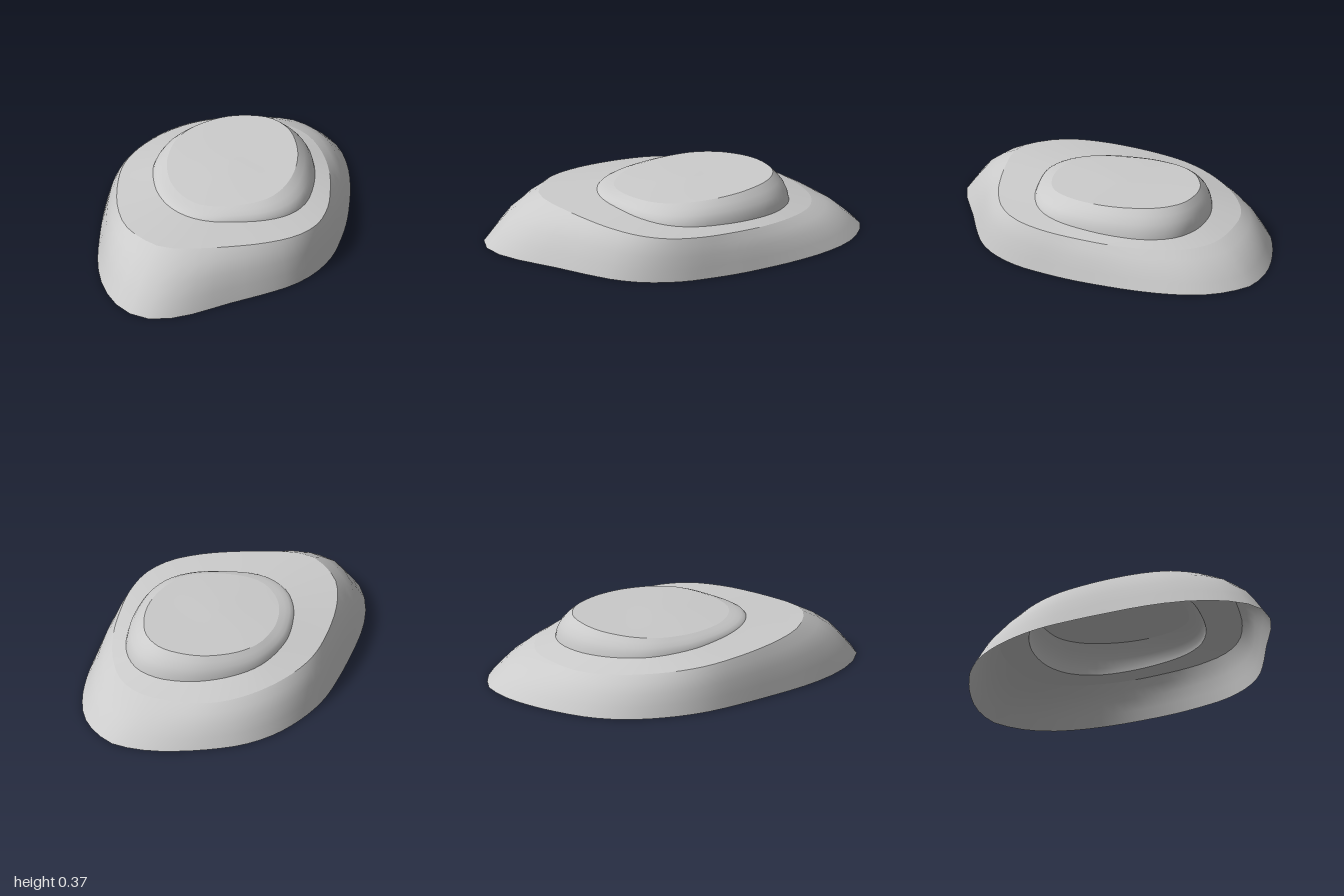
import * as THREE from 'three';

const SEGMENTS = 64;
const CENTRE = [0.05, -0.1];

// Closed outline (x, z pairs) on a tilted plane y = a + b*x + c*z,
// resampled at even angles around the centre so that rings line up.
function makeRing(flat, [a, b, c]) {
  const pts = [];
  for (let i = 0; i < flat.length; i += 2) pts.push(new THREE.Vector3(flat[i] - CENTRE[0], 0, flat[i + 1] - CENTRE[1]));
  const dense = new THREE.CatmullRomCurve3(pts, true).getPoints(400);
  const ring = [];
  for (let i = 0; i < SEGMENTS; i++) {
    const t = (i / SEGMENTS) * Math.PI * 2;
    const dx = Math.cos(t), dz = Math.sin(t);
    let r = 0;
    for (let k = 0; k < dense.length - 1; k++) {
      const p = dense[k], q = dense[k + 1];
      const sp = dx * p.z - dz * p.x, sq = dx * q.z - dz * q.x;
      if (sp * sq > 0 || sp === sq) continue;
      const f = sp / (sp - sq);
      r = Math.max(r, dx * (p.x + (q.x - p.x) * f) + dz * (p.z + (q.z - p.z) * f));
    }
    const x = CENTRE[0] + dx * r, z = CENTRE[1] + dz * r;
    ring.push(new THREE.Vector3(x, a + b * x + c * z, z));
  }
  return ring;
}

// Surface between two rings; profile steps are [inward, upward] fractions.
function band(name, lower, upper, profile, material) {
  const positions = [], index = [];
  for (const [h, v] of profile) {
    lower.forEach((p, i) => {
      const q = upper[i];
      positions.push(p.x + (q.x - p.x) * h, p.y + (q.y - p.y) * v, p.z + (q.z - p.z) * h);
    });
  }
  for (let j = 0; j < profile.length - 1; j++) {
    for (let i = 0; i < SEGMENTS; i++) {
      const n = (i + 1) % SEGMENTS;
      const a = j * SEGMENTS + i, b = j * SEGMENTS + n;
      const c = a + SEGMENTS, d = b + SEGMENTS;
      index.push(a, c, b, b, c, d);
    }
  }
  const geometry = new THREE.BufferGeometry();
  geometry.setAttribute('position', new THREE.Float32BufferAttribute(positions, 3));
  geometry.setIndex(index);
  geometry.computeVertexNormals();
  const mesh = new THREE.Mesh(geometry, material);
  mesh.name = name;
  return mesh;
}

export function createModel() {
  const group = new THREE.Group();
  group.name = 'steppedShell';
  const material = new THREE.MeshStandardMaterial({ color: 0xcccccc, side: THREE.DoubleSide });

  // Open foot of the shell
  const foot = makeRing([
    0.28, -1, 0.41, -0.98, 0.51, -0.91, 0.59, -0.82, 0.645, -0.71, 0.685, -0.55, 0.702, -0.37,
    0.702, -0.2, 0.69, 0, 0.66, 0.18, 0.615, 0.35, 0.52, 0.52, 0.4, 0.64, 0.25, 0.73, 0.05, 0.83,
    -0.17, 0.95, -0.3, 0.995, -0.4, 0.998, -0.5, 0.955, -0.58, 0.87, -0.65, 0.73, -0.69, 0.57,
    -0.705, 0.39, -0.7, 0.2, -0.685, -0.03, -0.65, -0.28, -0.57, -0.5, -0.45, -0.69, -0.3, -0.825,
    -0.13, -0.91, 0.03, -0.965, 0.17, -0.995], [0, 0, 0]);
  // Sloping shoulder edge
  const shoulder = makeRing([
    -0.6, 0, -0.59, 0.3, -0.53, 0.5, -0.4, 0.65, -0.33, 0.69, -0.23, 0.7, -0.1, 0.685, 0.08, 0.65,
    0.25, 0.6, 0.42, 0.51, 0.53, 0.38, 0.585, 0.2, 0.597, 0, 0.585, -0.22, 0.53, -0.45, 0.44, -0.62,
    0.3, -0.72, 0.1, -0.75, -0.1, -0.73, -0.28, -0.63, -0.45, -0.45, -0.56, -0.24], [0.2325, -0.029, 0.058]);
  // Where the raised cap meets the ledge
  const capFoot = makeRing([
    0.12, -0.605, 0.25, -0.59, 0.38, -0.52, 0.47, -0.38, 0.505, -0.2, 0.5, 0, 0.46, 0.18, 0.38, 0.3,
    0.25, 0.38, 0.08, 0.42, -0.08, 0.43, -0.2, 0.39, -0.3, 0.3, -0.37, 0.16, -0.4, 0, -0.4, -0.15,
    -0.35, -0.32, -0.28, -0.43, -0.15, -0.53, 0, -0.59], [0.26, -0.055, 0.05]);
  // Upper rim of the cap, tilted the other way
  const capRim = makeRing([
    0.12, -0.53, 0.25, -0.5, 0.35, -0.4, 0.4, -0.25, 0.41, -0.1, 0.385, 0.05, 0.33, 0.18, 0.25, 0.27,
    0.1, 0.33, -0.05, 0.34, -0.15, 0.31, -0.24, 0.22, -0.3, 0.1, -0.325, -0.05, -0.32, -0.15,
    -0.28, -0.3, -0.2, -0.41, -0.1, -0.48, 0, -0.52], [0.34, 0.03, -0.035]);
  const peak = capRim.map(() => new THREE.Vector3(CENTRE[0], 0.352, CENTRE[1]));

  group.add(
    band('skirt', foot, shoulder, [[0, 0], [0.2, 0.29], [0.42, 0.58], [0.7, 0.82], [1, 1]], material),
    band('ledge', shoulder, capFoot, [[0, 0], [0.5, 0.5], [1, 1]], material),
    band('capWall', capFoot, capRim, [[0, 0], [0.08, 0.25], [0.28, 0.52], [0.6, 0.77], [1, 1]], material),
    band('capTop', capRim, peak, [[0, 0], [0.5, 0.7], [0.999, 1]], material),
  );
  return group;
}
